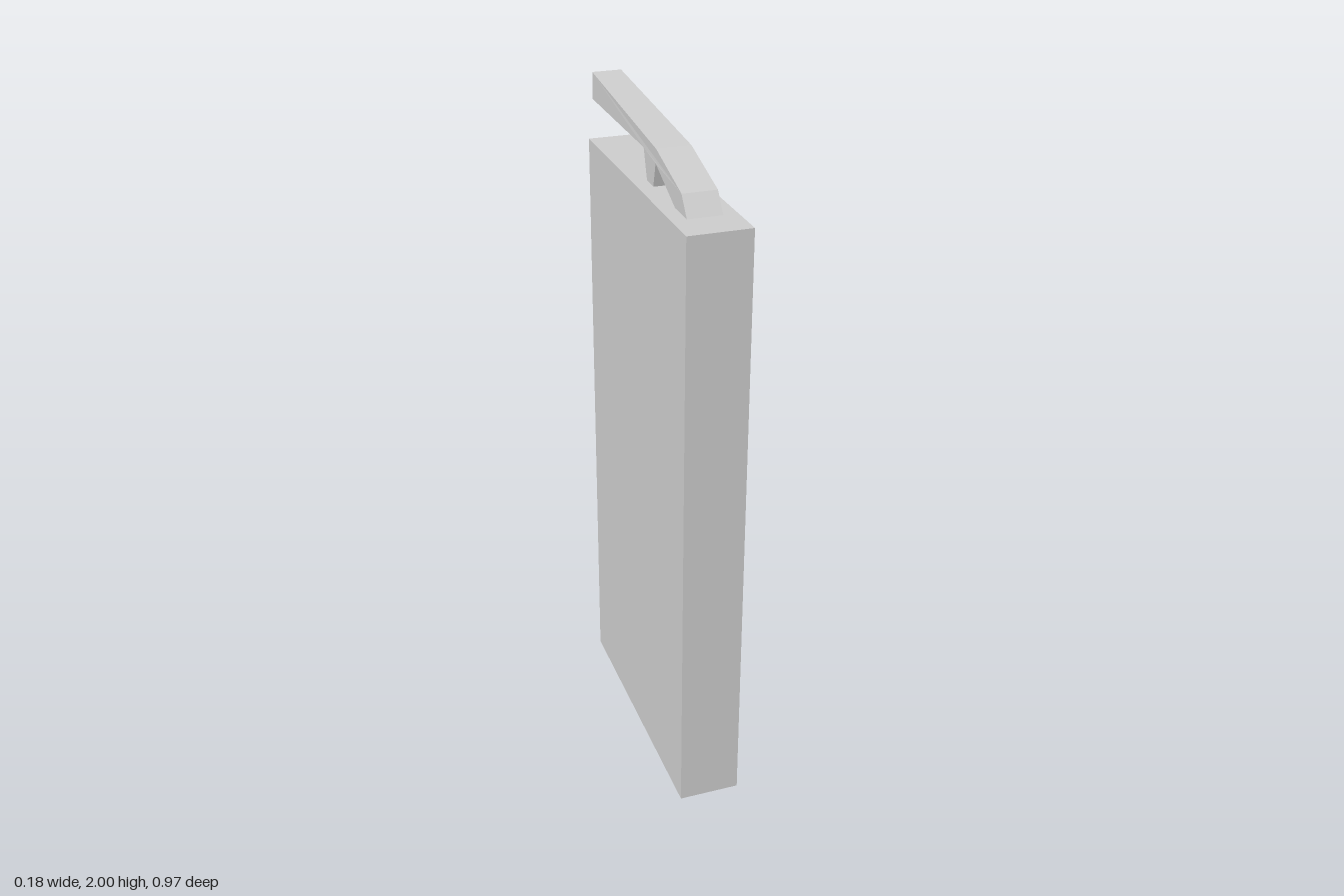
import * as THREE from 'three';

export function createModel() {
  const group = new THREE.Group();
  const material = new THREE.MeshStandardMaterial({ color: 0xcccccc, flatShading: true });

  // Flat rectangular body
  const back = -0.37, front = 0.484, height = 1.833;
  const body = new THREE.Mesh(new THREE.BoxGeometry(0.184, height, front - back), material);
  body.name = 'body';
  body.position.set(0, height / 2, (front + back) / 2);
  group.add(body);

  // Handle side outline as [z, y]: front foot, long rising arm, rear foot
  const outline = [
    [0.371, height], [0.329, 1.888], [0.127, 1.946], [-0.481, 2], [-0.485, 1.918],
    [0.018, 1.918], [0.047, height], [0.102, height], [0.122, 1.905], [0.28, height],
  ];
  const shape = new THREE.Shape(outline.map(([z, y]) => new THREE.Vector2(-z, y)));
  const geometry = new THREE.ExtrudeGeometry(shape, { depth: 0.1, bevelEnabled: false });
  geometry.translate(0, 0, -0.05).rotateY(Math.PI / 2);

  // Narrow the arm slightly towards its free end
  const pos = geometry.attributes.position;
  for (let i = 0; i < pos.count; i++) {
    const t = THREE.MathUtils.clamp((0.127 - pos.getZ(i)) / 0.61, 0, 1);
    pos.setX(i, pos.getX(i) * (1 - 0.1 * t));
  }
  geometry.computeVertexNormals();

  const handle = new THREE.Mesh(geometry, material);
  handle.name = 'handle';
  group.add(handle);
  return group;
}
